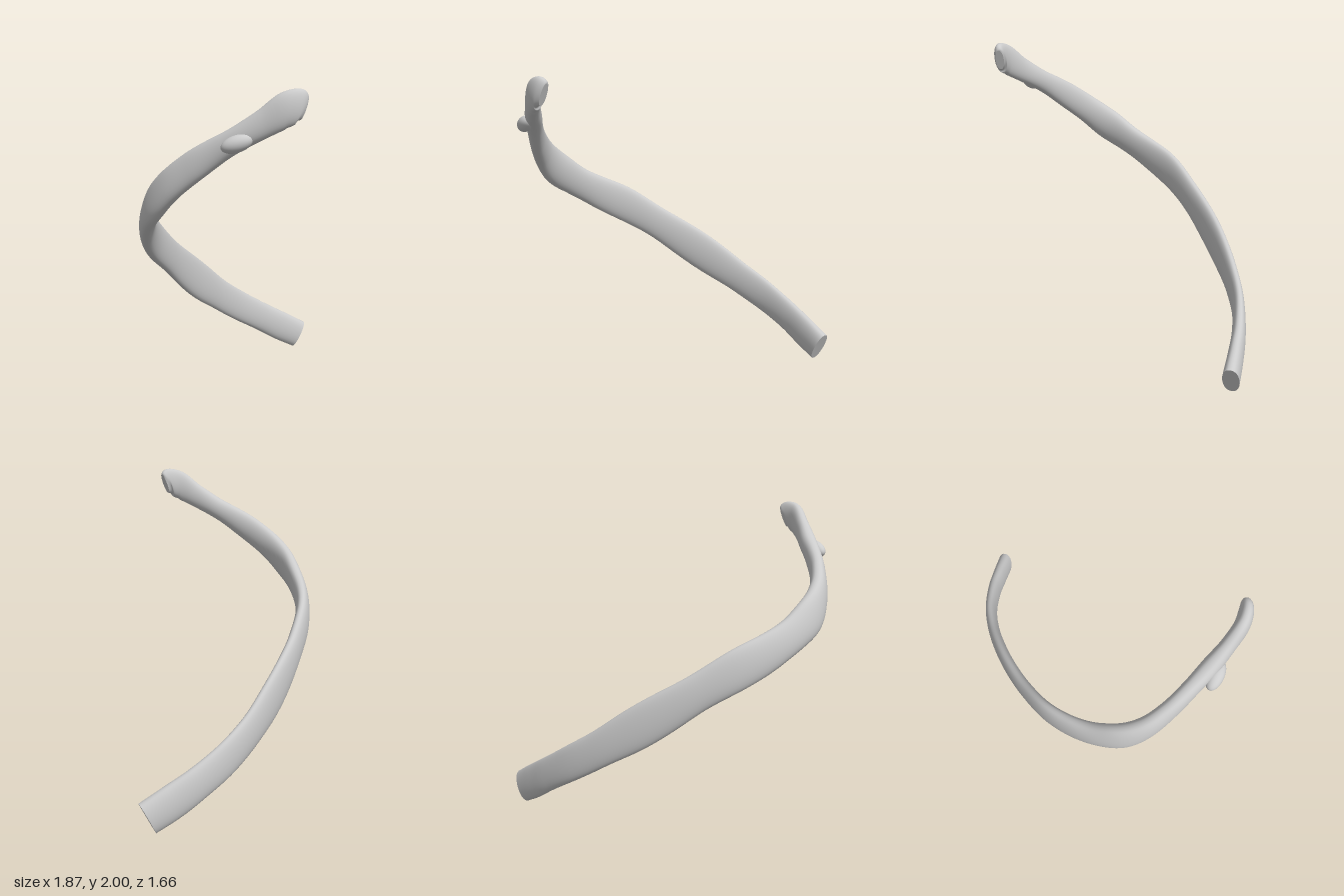
import * as THREE from 'three';

// Stations from the flat front end to the head:
// centre x, y, z, half width, half thickness, lean of the section along the path
const STATIONS = [
  [0.89, 0.105, -0.69, 0.108, 0.054, 0],
  [0.75, 0.18, -0.735, 0.112, 0.05, 0],
  [0.6, 0.265, -0.775, 0.11, 0.045, 0],
  [0.4, 0.375, -0.797, 0.11, 0.04, 0],
  [0.2, 0.49, -0.777, 0.116, 0.04, 0],
  [0, 0.615, -0.725, 0.13, 0.042, 0],
  [-0.2, 0.75, -0.65, 0.127, 0.043, 0],
  [-0.4, 0.89, -0.55, 0.12, 0.044, 0],
  [-0.6, 1.03, -0.415, 0.123, 0.046, 0],
  [-0.74, 1.135, -0.26, 0.118, 0.05, 0],
  [-0.83, 1.235, -0.1, 0.112, 0.055, 0],
  [-0.868, 1.33, 0.04, 0.113, 0.058, 0],
  [-0.855, 1.44, 0.18, 0.104, 0.056, 0],
  [-0.79, 1.55, 0.32, 0.09, 0.052, 0],
  [-0.7, 1.65, 0.45, 0.08, 0.052, 0],
  [-0.605, 1.735, 0.57, 0.075, 0.055, 0],
  [-0.52, 1.81, 0.67, 0.08, 0.048, 0.2],
  [-0.43, 1.885, 0.755, 0.1, 0.047, 0.4],
  [-0.36, 1.9, 0.785, 0.1, 0.043, 0.3],
  [-0.325, 1.893, 0.787, 0.07, 0.028, 0.2],
];
const SIDES = 32;
const STEPS = 150;

// Swept oval section that stays upright along the curved path
function shaftGeometry() {
  const path = new THREE.CatmullRomCurve3(STATIONS.map((s) => new THREE.Vector3(s[0], s[1], s[2])));
  const size = new THREE.CatmullRomCurve3(STATIONS.map((s) => new THREE.Vector3(s[3], s[4], s[5])), false, 'catmullrom', 0.5);
  const up = new THREE.Vector3(0, 1, 0);
  const pos = [];
  const index = [];

  for (let i = 0; i <= STEPS; i++) {
    const u = i / STEPS;
    const c = path.getPoint(u);
    const s = size.getPoint(u);
    const t = path.getTangent(u);
    const n = new THREE.Vector3().crossVectors(t, up).normalize();
    const w = new THREE.Vector3().crossVectors(n, t).normalize();
    // The bend at the side leans outward a little
    const twist = 0.22 * Math.exp(-((c.z / 0.35) ** 2));
    n.applyAxisAngle(t, -twist);
    w.applyAxisAngle(t, -twist).addScaledVector(t, s.z);
    // Gentle unevenness along the lower and upper edges
    const wave = 0.004 * Math.sin(u * 47) * Math.sin(u * Math.PI);
    for (let j = 0; j < SIDES; j++) {
      const a = (j / SIDES) * Math.PI * 2;
      const cos = Math.cos(a);
      const sin = Math.sin(a);
      const across = Math.sign(cos) * Math.abs(cos) ** 0.85 * s.y;
      const along = sin * (s.x + wave);
      const p = c.clone().addScaledVector(n, across).addScaledVector(w, along);
      pos.push(p.x, p.y, p.z);
      if (i < STEPS) {
        const k = (j + 1) % SIDES;
        const r = i * SIDES;
        index.push(r + j, r + SIDES + j, r + k, r + k, r + SIDES + j, r + SIDES + k);
      }
    }
  }

  // Caps with their own vertices, so the cut ends stay crisp
  for (const end of [0, STEPS]) {
    const c = path.getPoint(end / STEPS);
    const base = pos.length / 3;
    pos.push(c.x, c.y, c.z);
    for (let j = 0; j < SIDES; j++) {
      const o = (end * SIDES + j) * 3;
      pos.push(pos[o], pos[o + 1], pos[o + 2]);
      const a = base + 1 + j;
      const b = base + 1 + ((j + 1) % SIDES);
      if (end === 0) index.push(base, a, b);
      else index.push(base, b, a);
    }
  }

  const geo = new THREE.BufferGeometry();
  geo.setAttribute('position', new THREE.Float32BufferAttribute(pos, 3));
  geo.setIndex(index);
  geo.computeVertexNormals();
  return geo;
}

export function createModel() {
  const group = new THREE.Group();
  group.name = 'rib';
  const material = new THREE.MeshStandardMaterial({ color: 0xcccccc });

  const shaft = new THREE.Mesh(shaftGeometry(), material);
  shaft.name = 'shaft';
  group.add(shaft);

  // Small knob on the outside of the neck
  const knob = new THREE.Mesh(new THREE.SphereGeometry(1, 28, 18), material);
  knob.name = 'tubercle';
  knob.scale.set(0.095, 0.05, 0.05);
  knob.position.set(-0.655, 1.695, 0.595);
  knob.quaternion.setFromUnitVectors(new THREE.Vector3(1, 0, 0), new THREE.Vector3(0.8, 0.3, 0.5).normalize());
  group.add(knob);

  return group;
}
